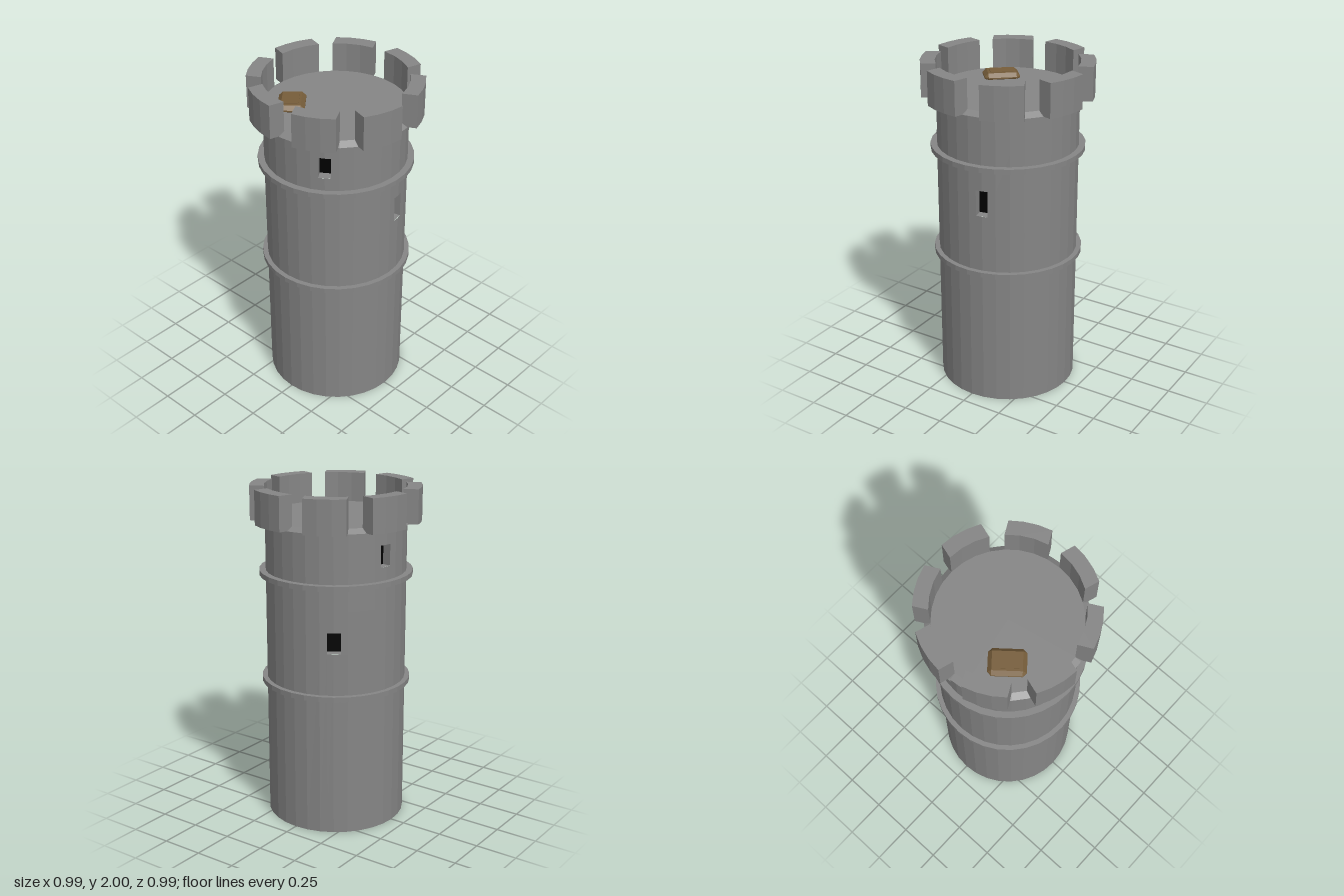
import * as THREE from 'three';
import { ConvexGeometry } from 'three/addons/geometries/ConvexGeometry.js';

const SIDES = 32, R = 0.412, DECK = 1.825, STEP = Math.PI * 2 / SIDES;
const rad = THREE.MathUtils.degToRad;
const material = (color) => new THREE.MeshStandardMaterial({ color, flatShading: true });

// Window slots: bearing from the front towards the left side, centre height, size
const WINDOWS = [
  { az: 33.5, y: 1.65, w: 0.071, h: 0.125 },
  { az: 101, y: 1.277, w: 0.07, h: 0.155 },
  { az: 214, y: 1.169, w: 0.08, h: 0.125 },
  { az: 258, y: 1.65, w: 0.073, h: 0.125 },
].map((o) => {
  const half = o.w / 2 / R, a = rad(o.az);
  return { a, a0: a - half, a1: a + half, y0: o.y - o.h / 2, y1: o.y + o.h / 2 };
});

// Point on the faceted wall
function wallPoint(a, y) {
  const local = a - Math.floor(a / STEP + 1e-9) * STEP - STEP / 2;
  const r = R * Math.cos(STEP / 2) / Math.cos(local);
  return new THREE.Vector3(r * Math.sin(a), y, r * Math.cos(a));
}

function quadsGeometry(quads) {
  const pts = quads.flatMap(([a, b, c, d]) => [a, b, c, a, c, d]);
  const geo = new THREE.BufferGeometry().setFromPoints(pts);
  geo.computeVertexNormals();
  return geo;
}

// Wall grid split at the window edges, with recessed openings
function buildWall() {
  const sorted = (list) => list.sort((p, q) => p - q);
  const angles = sorted([
    ...Array.from({ length: SIDES + 1 }, (_, i) => i * STEP),
    ...WINDOWS.flatMap((w) => [w.a0, w.a1]),
  ]);
  const levels = sorted([...new Set([0, DECK, ...WINDOWS.flatMap((w) => [w.y0, w.y1])])]);
  const wall = [], backs = [];
  for (let i = 0; i < angles.length - 1; i++) {
    for (let j = 0; j < levels.length - 1; j++) {
      const [a0, a1, y0, y1] = [angles[i], angles[i + 1], levels[j], levels[j + 1]];
      const am = (a0 + a1) / 2, ym = (y0 + y1) / 2;
      if (WINDOWS.some((w) => am > w.a0 && am < w.a1 && ym > w.y0 && ym < w.y1)) continue;
      wall.push([wallPoint(a0, y0), wallPoint(a1, y0), wallPoint(a1, y1), wallPoint(a0, y1)]);
    }
  }
  for (const w of WINDOWS) {
    const inward = new THREE.Vector3(-Math.sin(w.a), 0, -Math.cos(w.a)).multiplyScalar(0.055);
    const outer = [wallPoint(w.a0, w.y0), wallPoint(w.a1, w.y0), wallPoint(w.a1, w.y1), wallPoint(w.a0, w.y1)];
    const inner = outer.map((p) => p.clone().add(inward));
    for (let k = 0; k < 4; k++) {
      const n = (k + 1) % 4;
      wall.push([outer[k], outer[n], inner[n], inner[k]]);
    }
    backs.push(inner);
  }
  return { wall: quadsGeometry(wall), backs: quadsGeometry(backs) };
}

// Ring turned from a few [radius, height] points
function turned(profile) {
  return new THREE.LatheGeometry(profile.map(([x, y]) => new THREE.Vector2(x, y)), SIDES);
}
const bandGeometry = (r, y0, y1) => turned([[0.4, y0], [r, y0], [r, y1], [0.4, y1]]);

// Curved battlement block with nearly parallel sides
function merlonGeometry() {
  const arc = (r, half) => [-1, -1 / 3, 1 / 3, 1].map((t) =>
    new THREE.Vector2(r * Math.cos(rad(half * t)), r * Math.sin(rad(half * t))));
  const shape = new THREE.Shape([...arc(0.496, 14), ...arc(R, 16.875).reverse()]);
  return new THREE.ExtrudeGeometry(shape, { depth: 0.2, bevelEnabled: false })
    .rotateX(-Math.PI / 2).translate(0, 1.8, 0);
}

// Box with chamfered edges and corners, given half sizes
function chamferedBox(x, y, z, c) {
  const pts = [];
  for (const sx of [-1, 1]) for (const sy of [-1, 1]) for (const sz of [-1, 1]) {
    pts.push(
      new THREE.Vector3(sx * x, sy * (y - c), sz * (z - c)),
      new THREE.Vector3(sx * (x - c), sy * y, sz * (z - c)),
      new THREE.Vector3(sx * (x - c), sy * (y - c), sz * z));
  }
  return new ConvexGeometry(pts);
}

export function createModel() {
  const model = new THREE.Group();
  const stone = material(0x858585), dark = material(0x000000);
  const wood = material(0x765d3a);
  const add = (name, geometry, mat, parent = model) => {
    const mesh = new THREE.Mesh(geometry, mat);
    mesh.name = name;
    parent.add(mesh);
    return mesh;
  };

  // Tower body
  const { wall, backs } = buildWall();
  add('towerWall', wall, stone);
  add('windowOpenings', backs, dark);
  add('towerBase', new THREE.CircleGeometry(R, SIDES).rotateX(Math.PI / 2), stone);
  add('roofDeck', new THREE.CircleGeometry(R, SIDES).rotateX(-Math.PI / 2).translate(0, DECK, 0), stone);

  // Bands, sloped sill between the battlements, and battlements
  add('lowerBand', bandGeometry(0.441, 0.83, 0.86), stone);
  add('upperBand', bandGeometry(0.449, 1.48, 1.51), stone);
  add('parapetSill', turned([[0.41, 1.8], [0.447, 1.8], [R, DECK]]), stone);
  const battlements = new THREE.Group();
  battlements.name = 'battlements';
  model.add(battlements);
  const merlon = merlonGeometry();
  for (let i = 0; i < 8; i++) {
    add('merlon', merlon, stone, battlements).rotation.y = rad(28.125 + 45 * i - 90);
  }

  // Wooden chest sunk slightly into the deck
  const chest = new THREE.Group();
  chest.name = 'chest';
  chest.position.set(-0.184, DECK + 0.007, 0.164);
  chest.rotation.y = -0.87;
  model.add(chest);
  add('chestBody', chamferedBox(0.104, 0.026, 0.077, 0.022), wood, chest);
  add('chestLidPanel', new THREE.BoxGeometry(0.135, 0.006, 0.085).translate(0, 0.026, 0), wood, chest);

  return model;
}
